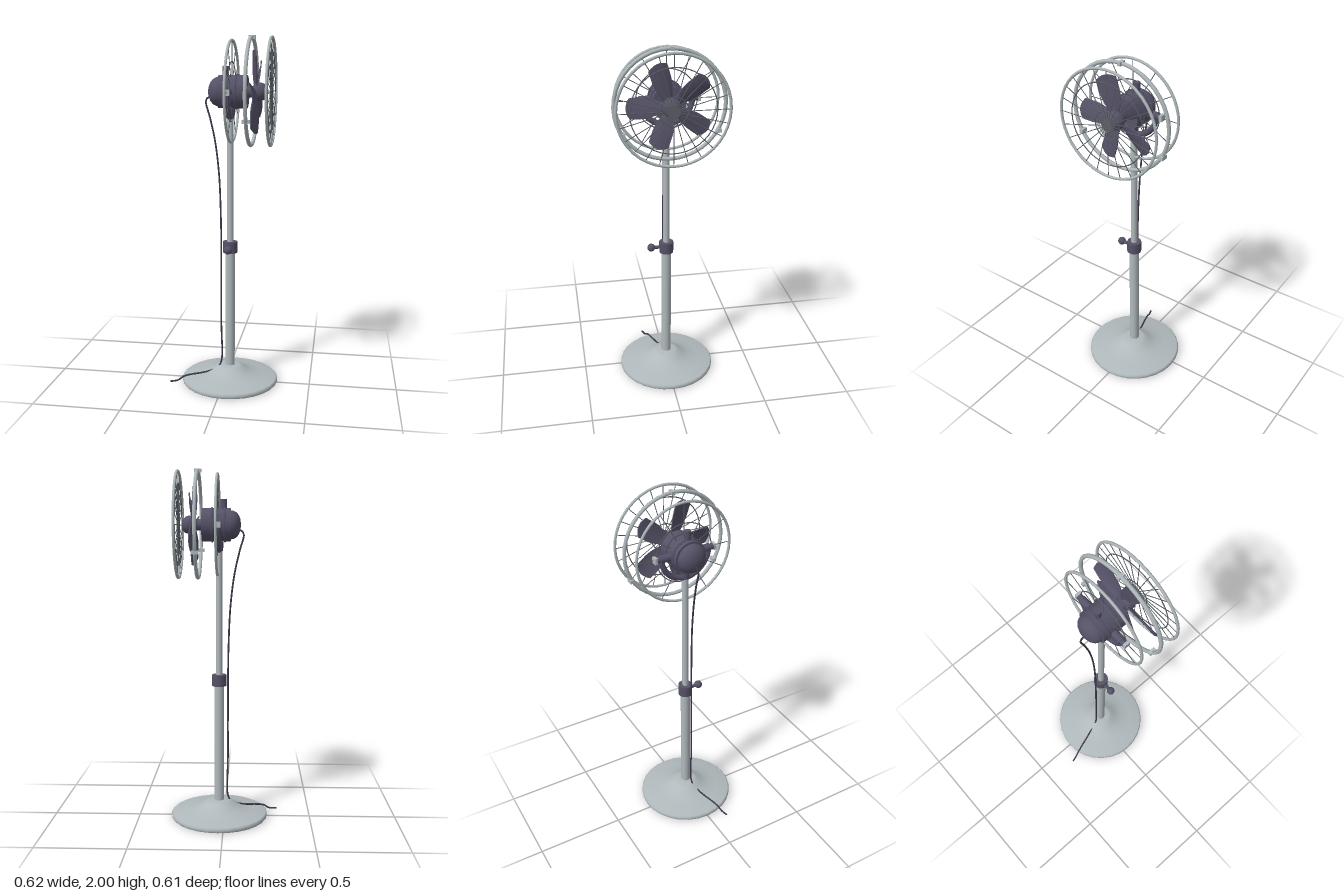
import * as THREE from 'three';

const mat = (name, color) => {
  const m = new THREE.MeshStandardMaterial({ color });
  m.name = name;
  return m;
};

export function createModel() {
  const silver = mat('silver enamel', 0xb0b9bc);
  const dark = mat('dark plum plastic', 0x565268);
  const wire = mat('guard wire', 0x5c6166);
  const cordMat = mat('cord rubber', 0x3e3c4c);

  const model = new THREE.Group();
  model.name = 'pedestalFan';
  const head = new THREE.Group();
  head.name = 'fanHead';
  head.position.y = 1.695;
  model.add(head);

  const add = (name, geo, material, parent = model, x = 0, y = 0, z = 0) => {
    const mesh = new THREE.Mesh(geo, material);
    mesh.name = name;
    mesh.position.set(x, y, z);
    parent.add(mesh);
    return mesh;
  };
  const lathe = (pts, n = 28) => new THREE.LatheGeometry(pts.map(p => new THREE.Vector2(p[0], p[1])), n);
  // shapes turned or bent around the fan's x axis
  const axial = (pts, n) => lathe(pts, n).rotateZ(-Math.PI / 2);
  const hoop = (r, t, sides = 6, n = 40) => new THREE.TorusGeometry(r, t, sides, n).rotateY(Math.PI / 2);

  // Base
  const px = 0.03;
  add('base', lathe([[0, 0], [0.275, 0], [0.28, 0.006], [0.28, 0.02], [0.272, 0.028], [0.2, 0.039], [0.14, 0.052],
    [0.1, 0.072], [0.075, 0.09], [0.055, 0.098], [0, 0.1]]), silver, model, px);

  // Telescopic pole with clamp collar and knob
  add('lowerPole', new THREE.CylinderGeometry(0.028, 0.028, 0.7, 20), silver, model, px, 0.44);
  add('upperPole', new THREE.CylinderGeometry(0.018, 0.018, 0.8, 20), silver, model, px, 1.18);
  add('collar', new THREE.CylinderGeometry(0.041, 0.041, 0.065, 20), dark, model, px, 0.813);
  add('clampStem', new THREE.CylinderGeometry(0.01, 0.01, 0.06, 12).rotateX(Math.PI / 2), dark, model, px, 0.813, 0.06);
  add('clampKnob', new THREE.SphereGeometry(0.023, 14, 10), dark, model, px, 0.813, 0.088);

  // Yoke carrying the motor
  add('yokeSocket', new THREE.CylinderGeometry(0.026, 0.022, 0.05, 16), dark, model, px, 1.575);
  add('yoke', new THREE.TorusGeometry(0.14, 0.016, 8, 24, Math.PI).rotateZ(Math.PI).rotateY(Math.PI / 2), dark, head, px);
  for (const s of [-1, 1]) {
    add('yokePivot', new THREE.CylinderGeometry(0.021, 0.021, 0.065, 16).rotateX(Math.PI / 2), dark, head, px, 0, s * 0.115);
    add('yokeEnd', new THREE.CylinderGeometry(0.017, 0.017, 0.03, 16).rotateX(Math.PI / 2), dark, head, px, 0, s * 0.154);
    add('yokeCap', new THREE.BoxGeometry(0.034, 0.034, 0.016), silver, head, 0.032, 0, s * 0.175);
  }

  // Motor housing
  add('motorDome', axial([[0, -0.092], [0.03, -0.09], [0.054, -0.08], [0.07, -0.066], [0.078, -0.05], [0.08, -0.035]]), dark, head);
  add('motorBody', new THREE.CylinderGeometry(0.091, 0.091, 0.16, 28).rotateZ(-Math.PI / 2), dark, head, 0.045);
  for (const x of [-0.003, 0.068]) add('motorBand', hoop(0.093, 0.005), dark, head, x);
  add('oscillationKnob', new THREE.CylinderGeometry(0.018, 0.018, 0.06, 16), dark, head, 0.003, 0.11);
  add('shaft', new THREE.CylinderGeometry(0.032, 0.032, 0.07, 16).rotateZ(-Math.PI / 2), dark, head, 0.155);

  // Propeller
  add('hub', axial([[0, 0.155], [0.032, 0.155], [0.046, 0.168], [0.052, 0.185], [0.051, 0.2], [0.044, 0.219],
    [0.03, 0.233], [0.014, 0.239], [0, 0.24]], 20), dark, head);
  const blade = new THREE.BoxGeometry(1, 1, 0.006, 6, 8, 1);
  const p = blade.attributes.position;
  for (let i = 0; i < p.count; i++) {
    const u = p.getX(i) * 2;
    const t = p.getY(i) + 0.5;
    // narrow root, broad paddle, slightly rounded tip
    const width = 0.022 + 0.032 * Math.sin(Math.min(1, t * 1.5) * Math.PI / 2);
    const radial = 0.035 + t * (0.2 - 0.02 * u * u);
    const twist = 0.42 - 0.16 * t;
    const x = u * width, z = p.getZ(i) - 0.006 * u * u;
    p.setXYZ(i, x * Math.cos(twist) + z * Math.sin(twist), radial, z * Math.cos(twist) - x * Math.sin(twist));
  }
  blade.computeVertexNormals();
  blade.rotateY(Math.PI / 2);
  for (let i = 0; i < 5; i++) {
    add('blade', blade, dark, head, 0.176).rotation.x = Math.PI / 2 + i * Math.PI * 2 / 5;
  }

  // Guard rims
  add('rearRim', hoop(0.279, 0.008), silver, head, 0.038);
  add('middleRim', hoop(0.294, 0.011), silver, head, 0.148);
  add('frontRim', hoop(0.295, 0.008), silver, head, 0.258);

  // Guard wires
  const spokes = (name, count, x, r0, r1) => {
    const geo = new THREE.CylinderGeometry(0.0022, 0.0022, r1 - r0, 5).translate(0, (r0 + r1) / 2, 0);
    for (let i = 0; i < count; i++) add(name, geo, wire, head, x).rotation.x = i * Math.PI * 2 / count;
  };
  spokes('frontSpoke', 24, 0.258, 0.03, 0.294);
  spokes('rearSpoke', 12, 0.038, 0.09, 0.278);
  for (const r of [0.035, 0.075, 0.225]) add('frontWireRing', hoop(r, 0.003, 5), wire, head, 0.258);
  add('rearWireRing', hoop(0.165, 0.003, 5), wire, head, 0.038);
  add('frontBoss', new THREE.CylinderGeometry(0.032, 0.032, 0.008, 20).rotateZ(-Math.PI / 2), wire, head, 0.258);

  // Rim clips
  for (let i = 0; i < 3; i++) {
    const a = i * Math.PI * 2 / 3;
    add('rimClip', new THREE.BoxGeometry(0.04, 0.02, 0.02), silver, head, 0.148, 0.294 * Math.cos(a), 0.294 * Math.sin(a) - 0.008);
  }

  // Power cord
  const path = [[-0.085, 1.668, 0], [-0.108, 1.65, 0], [-0.085, 1.55, 0], [-0.058, 1.43, 0.003], [-0.035, 1.25, 0.006],
    [-0.023, 1.0, 0.01], [-0.02, 0.7, 0.012], [-0.02, 0.35, 0.012], [-0.02, 0.12, 0.012], [-0.04, 0.08, 0.018],
    [-0.1, 0.057, 0.037], [-0.2, 0.044, 0.069], [-0.235, 0.036, 0.08], [-0.265, 0.014, 0.09], [-0.31, 0.009, 0.104]];
  const curve = new THREE.CatmullRomCurve3(path.map(q => new THREE.Vector3(...q)));
  add('powerCord', new THREE.TubeGeometry(curve, 90, 0.005, 8), cordMat);

  return model;
}
